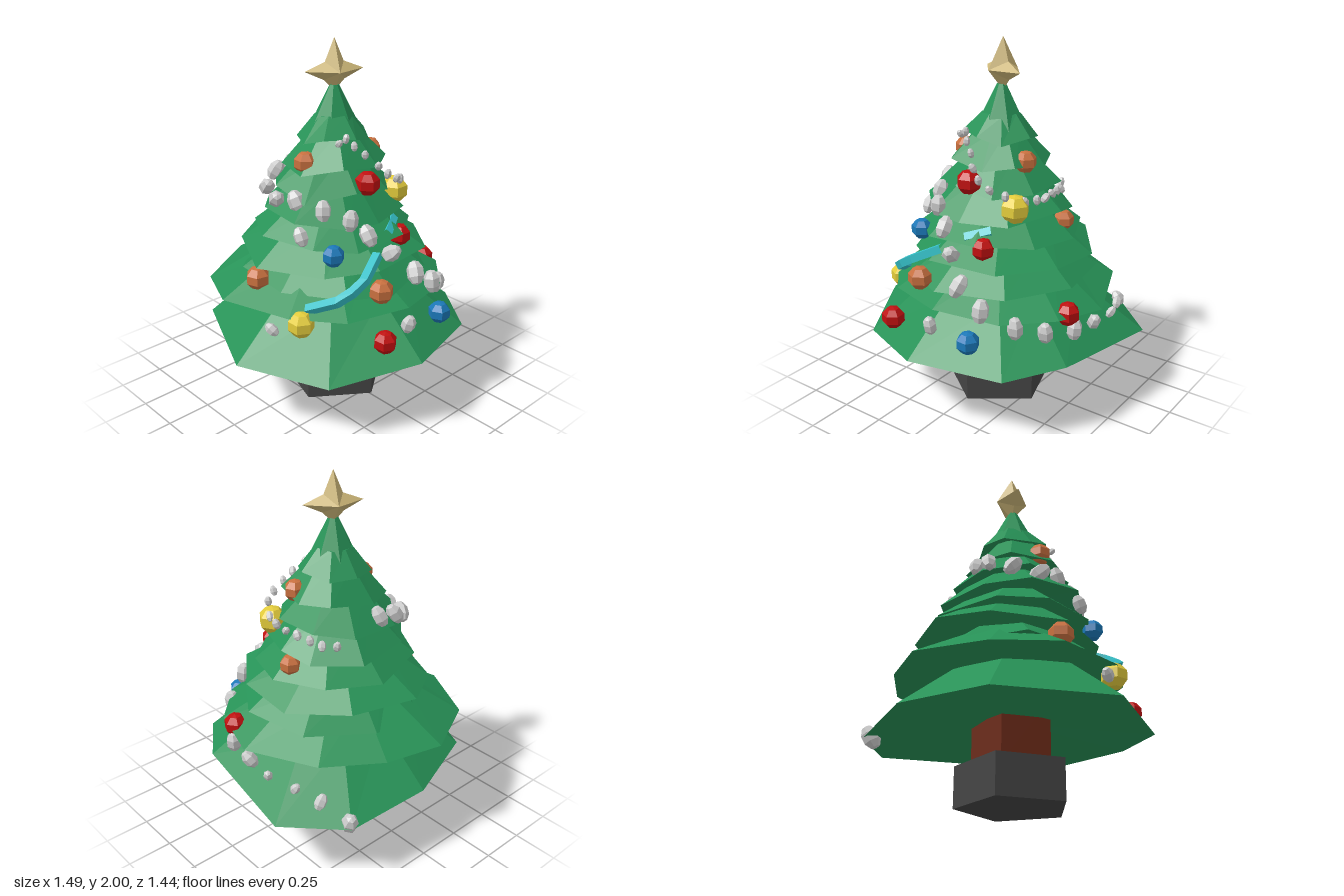
import * as THREE from 'three';

const mat = (color) => new THREE.MeshStandardMaterial({ color, flatShading: true });
const V = (x, y, z) => new THREE.Vector3(x, y, z);

// small seeded generator, returns -1..1
let seed = 7;
const rnd = () => {
  seed = (seed * 16807) % 2147483647;
  return (seed / 2147483647) * 2 - 1;
};

// flat-shaded geometry from a list of triangle corners
function fromTriangles(tris) {
  const g = new THREE.BufferGeometry().setFromPoints(tris);
  g.computeVertexNormals();
  return g;
}

// one skirt of branches: ragged rim, smaller upper ring, shallow underside
function skirt(rim, centre, height, shrink) {
  const tris = [];
  const top = V(centre.x, centre.y + height, centre.z);
  const under = V(centre.x, centre.y + 0.05, centre.z);
  const upper = rim.map((p) => V(
    centre.x + (p.x - centre.x) * shrink,
    centre.y + height + (p.y - centre.y) * 0.3,
    centre.z + (p.z - centre.z) * shrink));
  rim.forEach((a, i) => {
    const j = (i + 1) % rim.length, b = rim[j];
    tris.push(a, b, upper[j], a, upper[j], upper[i], upper[i], upper[j], top, under, b, a);
  });
  return fromTriangles(tris);
}

// rim fitted to x and z limits, with some jitter
function raggedRim(y, x0, x1, z0, z1, n, phase) {
  const cx = (x0 + x1) / 2, cz = (z0 + z1) / 2;
  return Array.from({ length: n }, (_, i) => {
    const t = phase + (i / n) * Math.PI * 2 + rnd() * 0.12, k = 1.03 + rnd() * 0.06;
    return V(cx + Math.sin(t) * k * (x1 - x0) / 2, y + rnd() * 0.025, cz + Math.cos(t) * k * (z1 - z0) / 2);
  });
}

// faceted ball used for ornaments and beads
const ballGeometry = new THREE.LatheGeometry(
  [[0, -1], [0.55, -0.88], [1, -0.36], [1, 0.36], [0.55, 0.88], [0, 1]].map(([x, y]) => new THREE.Vector2(x, y)), 6);

export function createModel() {
  const model = new THREE.Group();
  const add = (name, geometry, material, parent = model) => {
    const mesh = new THREE.Mesh(geometry, material);
    mesh.name = name;
    parent.add(mesh);
    return mesh;
  };

  // five-sided stand and trunk
  add('stand', new THREE.CylinderGeometry(0.31, 0.31, 0.22, 5), mat(0x444444)).position.set(0.01, 0.11, -0.01);
  add('trunk', new THREE.CylinderGeometry(0.225, 0.225, 0.35, 5), mat(0x6b2a18)).position.set(0.008, 0.36, -0.01);

  // foliage: two wide hand-shaped skirts, then smaller ragged ones
  const foliage = new THREE.Group();
  foliage.name = 'foliage';
  model.add(foliage);
  const green = mat(0x279257);
  const lowRim = [[-0.05, 0.42, 0.72], [0.45, 0.4, 0.58], [0.65, 0.42, 0.29], [0.74, 0.37, -0.39], [0.46, 0.36, -0.66],
    [0, 0.41, -0.72], [-0.49, 0.4, -0.53], [-0.75, 0.4, 0.05], [-0.51, 0.36, 0.5]];
  const secondRim = [[0, 0.67, 0.57], [0.36, 0.65, 0.48], [0.58, 0.65, 0.26], [0.66, 0.62, -0.04], [0.5, 0.65, -0.45],
    [0.2, 0.64, -0.64], [-0.12, 0.64, -0.72], [-0.49, 0.62, -0.53], [-0.64, 0.65, -0.2], [-0.54, 0.67, 0.23],
    [-0.34, 0.66, 0.46]];
  const points = (list) => list.map((p) => V(...p));
  add('branchSkirt1', skirt(points(lowRim), V(0, 0.4, 0), 0.27, 0.55), green, foliage);
  add('branchSkirt2', skirt(points(secondRim), V(0, 0.64, -0.06), 0.2, 0.5), green, foliage);
  // y, x limits, z limits, height, upper ring scale
  [
    [0.74, -0.49, 0.52, -0.53, 0.46, 0.18, 0.55],
    [0.86, -0.5, 0.53, -0.55, 0.45, 0.18, 0.5],
    [0.98, -0.42, 0.46, -0.44, 0.4, 0.18, 0.5],
    [1.1, -0.39, 0.4, -0.4, 0.34, 0.18, 0.5],
    [1.22, -0.33, 0.33, -0.34, 0.27, 0.18, 0.45],
    [1.35, -0.26, 0.28, -0.27, 0.24, 0.17, 0.45],
    [1.48, -0.18, 0.21, -0.21, 0.16, 0.12, 0.5],
  ].forEach(([y, x0, x1, z0, z1, h, s], i) => {
    const rim = raggedRim(y, x0, x1, z0, z1, i < 4 ? 9 : 8, i * 0.5);
    add(`branchSkirt${i + 3}`, skirt(rim, V((x0 + x1) / 2, y, (z0 + z1) / 2), h, s), green, foliage);
  });
  add('treeTop', new THREE.CylinderGeometry(0.025, 0.15, 0.25, 7), green, foliage).position.set(0.015, 1.63, -0.02);

  // four-pointed star with a ridge front and back
  const outline = [[0, 0.17], [-0.052, 0.045], [-0.163, 0], [-0.058, -0.05],
    [0, -0.11], [0.058, -0.05], [0.163, 0], [0.052, 0.045]].map(([x, y]) => V(x, y, 0));
  const starTris = [];
  outline.forEach((a, i) => {
    const b = outline[(i + 1) % outline.length];
    starTris.push(a, b, V(0, 0, 0.09), b, a, V(0, 0, -0.09));
  });
  const star = add('star', fromTriangles(starTris), mat(0xcbb577));
  star.position.set(0.02, 1.83, -0.025);
  star.rotation.y = -0.4;

  // hanging ornaments
  const orange = mat(0xc8703f), red = mat(0xc01010), yellow = mat(0xe3cc3c), blue = mat(0x1b78b8);
  [
    [orange, -0.21, 1.38, 0, 0.06], [orange, 0.22, 1.38, 0.05, 0.058], [orange, -0.48, 0.77, -0.09, 0.065],
    [orange, -0.14, 0.79, 0.5, 0.063], [orange, 0.375, 1.05, -0.09, 0.055],
    [yellow, -0.48, 0.63, 0.26, 0.07], [yellow, 0.26, 1.17, 0.2, 0.075],
    [red, 0, 1.28, 0.25, 0.065], [red, 0.16, 0.97, 0.34, 0.06],
    [red, -0.23, 0.58, 0.62, 0.06], [red, 0.57, 0.65, 0.16, 0.062],
    [blue, -0.29, 0.97, 0.3, 0.057], [blue, 0.24, 0.56, 0.58, 0.06],
  ].forEach(([material, x, y, z, r]) => {
    const ball = add('ornament', ballGeometry, material);
    ball.position.set(x, y, z);
    ball.scale.setScalar(r);
    ball.rotation.y = rnd();
  });

  // strings of uneven beads
  const grey = mat(0xcccccc);
  const beads = (name, list) => {
    const group = new THREE.Group();
    group.name = name;
    model.add(group);
    list.forEach(([x, y, z, r]) => {
      const bead = add('bead', ballGeometry, grey, group);
      bead.position.set(x, y, z);
      bead.scale.set(r * 0.8, r * 1.2, r * 0.85);
      bead.rotation.set(rnd() * 0.6, rnd() * 1.5, rnd() * 0.6);
    });
  };
  beads('largeBeadString', [
    [-0.05, 1.27, -0.31, 0.05], [-0.16, 1.25, -0.31, 0.05], [-0.28, 1.2, -0.24, 0.05], [-0.33, 1.18, -0.1, 0.053],
    [-0.31, 1.2, 0.04, 0.053], [-0.25, 1.17, 0.18, 0.05], [-0.17, 1.13, 0.3, 0.05], [-0.09, 1.04, 0.35, 0.053],
    [0.01, 0.93, 0.42, 0.053], [0.12, 0.81, 0.5, 0.055], [0.26, 0.71, 0.5, 0.055], [0.41, 0.62, 0.41, 0.053],
    [0.51, 0.57, 0.28, 0.05], [0.6, 0.56, 0.14, 0.05], [0.62, 0.54, -0.03, 0.045], [0.63, 0.53, -0.2, 0.03],
    [0.58, 0.51, -0.36, 0.03], [0.52, 0.47, -0.49, 0.038], [0.44, 0.37, -0.62, 0.055],
  ]);
  beads('looseBeads', [[-0.37, 1.05, 0.14, 0.045], [-0.57, 0.58, 0.13, 0.035], [-0.01, 0.58, 0.58, 0.045]]);
  beads('smallBeadString', [
    [-0.12, 1.5, 0.16, 0.022], [-0.08, 1.52, 0.17, 0.022], [-0.05, 1.48, 0.2, 0.022], [0, 1.43, 0.23, 0.022],
    [0.05, 1.37, 0.28, 0.024], [0.1, 1.32, 0.3, 0.024], [0.17, 1.28, 0.3, 0.024], [0.24, 1.25, 0.26, 0.024],
    [0.3, 1.21, 0.17, 0.025], [0.32, 1.2, 0.09, 0.025], [0.32, 1.19, 0.01, 0.025], [0.31, 1.19, -0.07, 0.025],
    [0.29, 1.18, -0.15, 0.025], [0.27, 1.17, -0.22, 0.025], [0.23, 1.18, -0.29, 0.025],
  ]);

  // angular ribbon showing in two stretches
  const cyan = mat(0x35c0c8);
  const ribbon = (list) => {
    const path = new THREE.CurvePath();
    points(list).forEach((p, i, a) => i && path.add(new THREE.LineCurve3(a[i - 1], p)));
    add('ribbon', new THREE.TubeGeometry(path, 6, 0.03, 4), cyan);
  };
  ribbon([[-0.44, 0.7, 0.26], [-0.36, 0.78, 0.42], [-0.25, 0.85, 0.47], [-0.07, 0.94, 0.4]]);
  ribbon([[0.05, 1.01, 0.35], [0.17, 1.05, 0.28]]);

  return model;
}
